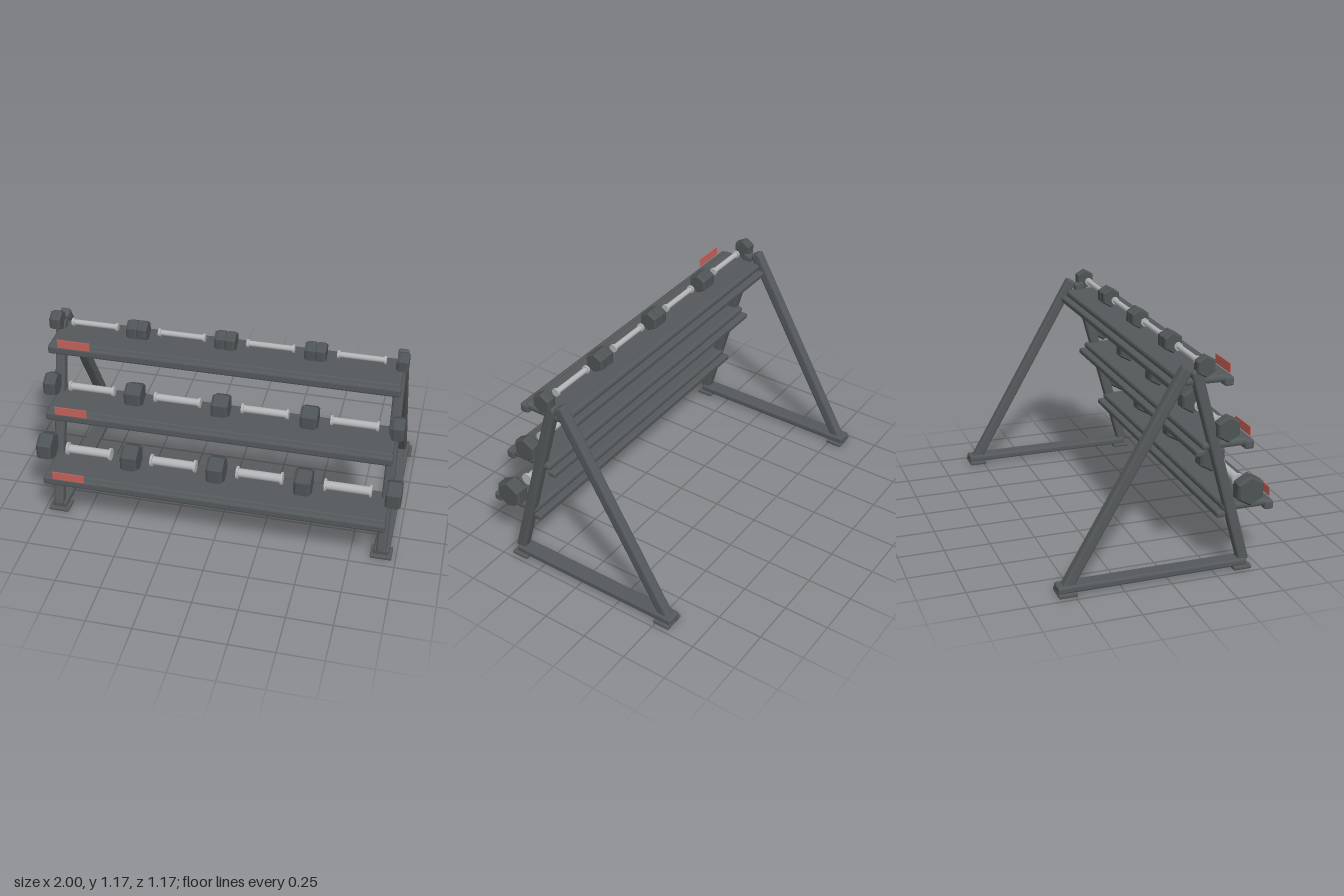
import * as THREE from 'three';
import { RoundedBoxGeometry } from 'three/addons/geometries/RoundedBoxGeometry.js';

const material = (name, color) => {
  const m = new THREE.MeshStandardMaterial({ color });
  m.name = name;
  return m;
};

// Facet a geometry so that every bevel reads as a flat strip
const faceted = (g) => {
  const f = g.index ? g.toNonIndexed() : g;
  f.computeVertexNormals();
  return f;
};

export function createModel() {
  const model = new THREE.Group();
  model.name = 'dumbbellRack';
  const steel = material('frame steel', 0x54595b);
  const rubber = material('head rubber', 0x4e5355);
  const chrome = material('handle chrome', 0xb2b4b7);
  const red = material('label red', 0xc4625a);

  const add = (parent, name, geometry, mat, x = 0, y = 0, z = 0) => {
    const mesh = new THREE.Mesh(geometry, mat);
    mesh.name = name;
    mesh.position.set(x, y, z);
    parent.add(mesh);
    return mesh;
  };
  const bevelBox = (w, h, d, r) => faceted(new RoundedBoxGeometry(w, h, d, 1, r));

  // Square tube in the side plane, running between two [z, y] points
  const post = (parent, name, x, [z0, y0], [z1, y1]) => {
    const length = Math.hypot(z1 - z0, y1 - y0);
    const mesh = add(parent, name, bevelBox(0.056, length, 0.058, 0.012), steel,
      x, (y0 + y1) / 2, (z0 + z1) / 2);
    mesh.rotation.x = Math.atan2(z1 - z0, y1 - y0);
  };

  // Two A-shaped side frames
  for (const side of [-1, 1]) {
    const frame = new THREE.Group();
    frame.name = side > 0 ? 'leftFrame' : 'rightFrame';
    model.add(frame);
    const x = side * 0.919;
    post(frame, 'frontPost', x, [0.424, 0.035], [0.135, 1.095]);
    post(frame, 'rearPost', x, [-0.535, 0.03], [0.093, 1.113]);
    add(frame, 'baseBeam', bevelBox(0.086, 0.038, 1.017, 0.01), steel, x, 0.034, -0.076);
    for (const z of [0.404, -0.536]) {
      add(frame, 'foot', bevelBox(0.118, 0.02, 0.097, 0.006), steel, x, 0.01, z);
    }
  }

  // Hexagonal head with chamfered rims, axis along x
  const headGeometry = (radius, width) => {
    const h = width / 2, rim = 0.014, inset = radius * 0.87;
    const profile = [[0, -h], [inset, -h], [radius, -h + rim], [radius, h - rim], [inset, h], [0, h]];
    const g = new THREE.LatheGeometry(profile.map(([r, y]) => new THREE.Vector2(r, y)), 6, Math.PI / 2);
    return faceted(g.rotateZ(Math.PI / 2));
  };
  const rod = (radius, length) =>
    new THREE.CylinderGeometry(radius, radius, length, 16).rotateZ(Math.PI / 2);

  // Shelves from bottom to top, carrying smaller dumbbells the higher they are
  const tiers = [
    { name: 'lowerShelf', y: 0.324, z: 0.559, head: 0.082, width: 0.083, offset: 0.243, bar: 0.024, collar: 0.035, cy: 0.443, cz: 0.425 },
    { name: 'middleShelf', y: 0.672, z: 0.436, head: 0.07, width: 0.068, offset: 0.227, bar: 0.02, collar: 0.028, cy: 0.78, cz: 0.304 },
    { name: 'upperShelf', y: 1.02, z: 0.313, head: 0.057, width: 0.06, offset: 0.213, bar: 0.015, collar: 0.022, cy: 1.113, cz: 0.181 },
  ];
  for (const t of tiers) {
    const shelf = new THREE.Group();
    shelf.name = t.name;
    model.add(shelf);
    add(shelf, 'frontLip', bevelBox(1.876, 0.05, 0.05, 0.011), steel, 0, t.y, t.z);
    add(shelf, 'shelfPlate', bevelBox(1.866, 0.038, 0.255, 0.014), steel, 0, t.y + 0.015, t.z - 0.129);
    add(shelf, 'rearLip', bevelBox(1.866, 0.033, 0.048, 0.009), steel, 0, t.y - 0.018, t.z - 0.266);
    add(shelf, 'weightLabel', new THREE.BoxGeometry(0.178, 0.048, 0.005), red, -0.789, t.y + 0.048, t.z + 0.028);

    // Four dumbbells in a row
    const head = headGeometry(t.head, t.width);
    const bar = rod(t.bar, 0.24), collar = rod(t.collar, 0.012);
    for (let i = 0; i < 4; i++) {
      const dumbbell = new THREE.Group();
      dumbbell.name = 'dumbbell';
      dumbbell.position.set((i - 1.5) * 0.477, t.cy, t.cz);
      shelf.add(dumbbell);
      add(dumbbell, 'handle', bar, chrome);
      for (const s of [-1, 1]) {
        add(dumbbell, 'collar', collar, chrome, s * 0.121);
        add(dumbbell, 'head', head, rubber, s * t.offset);
      }
    }
  }
  return model;
}
